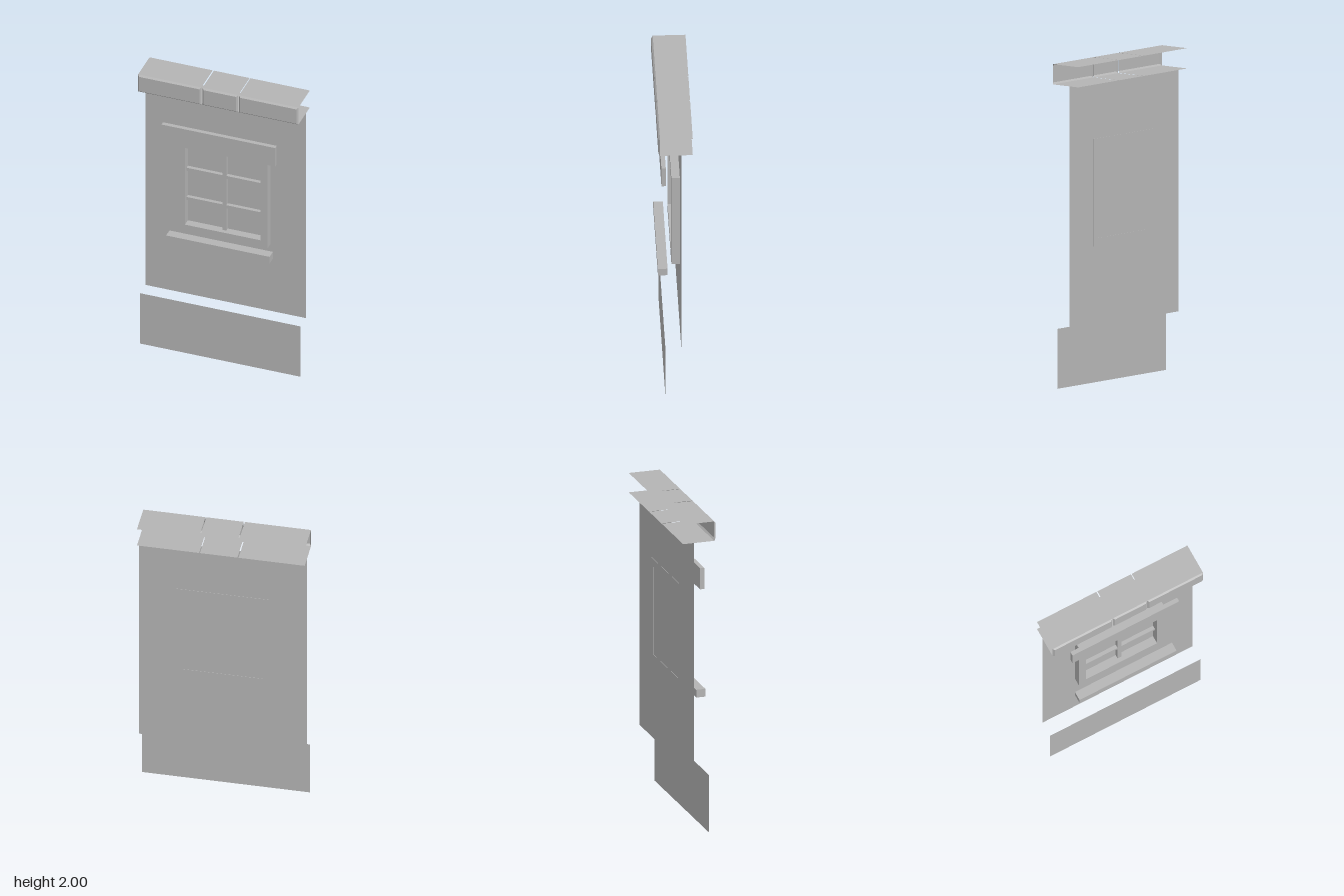
import * as THREE from 'three';

export function createModel() {
  const group = new THREE.Group();
  const stone = new THREE.MeshStandardMaterial({ color: 0xb4b4b4 });
  stone.name = 'plain grey';
  stone.side = THREE.DoubleSide;

  function add(name, geometry) {
    const mesh = new THREE.Mesh(geometry, stone);
    mesh.name = name;
    group.add(mesh);
    return mesh;
  }
  // Solid block given by its limits
  function block(name, x0, x1, y0, y1, z0, z1) {
    add(name, new THREE.BoxGeometry(x1 - x0, y1 - y0, z1 - z0))
      .position.set((x0 + x1) / 2, (y0 + y1) / 2, (z0 + z1) / 2);
  }
  // Upright sheet without thickness
  function sheet(name, x0, x1, y0, y1, z) {
    add(name, new THREE.PlaneGeometry(x1 - x0, y1 - y0))
      .position.set((x0 + x1) / 2, (y0 + y1) / 2, z);
  }

  // Wall, and the base panel standing forward of it
  const wallZ = -0.037;
  sheet('wall', -0.522, 0.522, 0.37, 1.875, wallZ);
  sheet('basePanel', -0.522, 0.522, 0, 0.37, 0.06);

  // Window frame with its opening
  const outline = new THREE.Shape([
    [-0.296, 0.862], [0.292, 0.862], [0.292, 1.525], [-0.296, 1.525],
  ].map(([x, y]) => new THREE.Vector2(x, y)));
  outline.holes.push(new THREE.Path([
    [-0.247, 0.91], [-0.247, 1.475], [0.246, 1.475], [0.246, 0.91],
  ].map(([x, y]) => new THREE.Vector2(x, y))));
  const frame = new THREE.ExtrudeGeometry(outline, { depth: 0.054, bevelEnabled: false });
  frame.translate(0, 0, -0.039);
  add('windowFrame', frame);

  // Glazing bars
  block('verticalBar', -0.013, 0.013, 0.91, 1.475, wallZ, -0.012);
  for (const y of [1.085, 1.3]) block('crossBar', -0.247, 0.246, y - 0.011, y + 0.011, wallZ, -0.013);

  // Lintel and sill
  block('lintel', -0.376, 0.365, 1.52, 1.656, 0.052, 0.079);
  block('sill', -0.338, 0.336, 0.812, 0.862, 0.04, 0.099);

  // Cornice stones: open channels whose front face is bevelled on all four edges
  const top = 2, bottom = 1.875, back = -0.106, rim = 0.094, front = 0.104, inset = 0.01;
  for (const [x0, x1] of [[-0.522, -0.11], [-0.103, 0.13], [0.135, 0.522]]) {
    const ring = (z, d) => [
      [x0 + d, bottom + d, z], [x1 - d, bottom + d, z], [x1 - d, top - d, z], [x0 + d, top - d, z],
    ];
    const [b, r, f] = [ring(back, 0), ring(rim, 0), ring(front, inset)];
    const quads = [
      [f[0], f[1], f[2], f[3]],
      [r[3], r[2], b[2], b[3]],
      [b[0], b[1], r[1], r[0]],
    ];
    for (let i = 0; i < 4; i++) {
      const j = (i + 1) % 4;
      quads.push([r[i], r[j], f[j], f[i]]);
    }
    const points = quads.flatMap(([p, q, s, t]) => [p, q, s, p, s, t]).flat();
    const geometry = new THREE.BufferGeometry();
    geometry.setAttribute('position', new THREE.Float32BufferAttribute(points, 3));
    geometry.computeVertexNormals();
    add('corniceStone', geometry);
  }

  return group;
}
